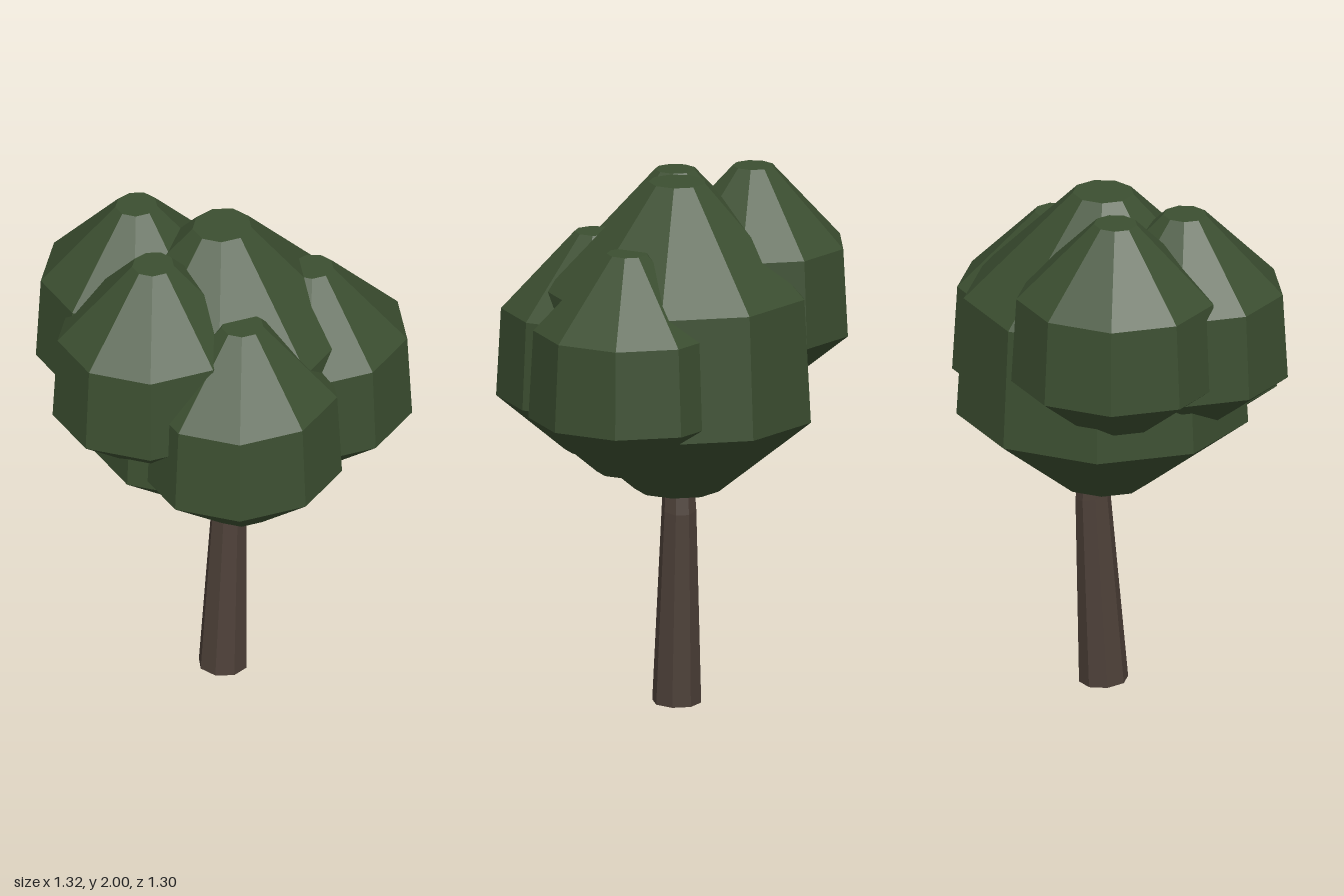
import * as THREE from 'three';

// Split the faces so every facet has its own flat normal
function faceted(geometry) {
  const g = geometry.toNonIndexed();
  g.computeVertexNormals();
  return g;
}

// Nine-sided leaf clump: flat base, widest low ring, upper ring, small flat cap
function clumpGeometry() {
  const profile = [[0, 0], [0.17, 0], [0.55, 0.29], [0.523, 0.755], [0.115, 1.165], [0, 1.165]]
    .map(([r, y]) => new THREE.Vector2(r, y));
  const g = new THREE.LatheGeometry(profile, 9, -Math.PI / 2);
  g.scale(1, 1, 0.935);
  return faceted(g);
}

// Eight-sided trunk, tapering and leaning through rings from top to bottom
function trunkGeometry() {
  const rings = [
    { x: 0.085, y: 0.95, r: 0.052, tilt: 0 },
    { x: 0.096, y: 0.75, r: 0.065, tilt: -0.25 },
    { x: 0.055, y: 0.007, r: 0.092, tilt: -0.06 },
  ];
  const g = new THREE.CylinderGeometry(1, 1, 2, 8, 2, false, Math.PI / 8);
  const p = g.attributes.position;
  for (let i = 0; i < p.count; i++) {
    const ring = rings[Math.round(1 - p.getY(i))];
    const x = p.getX(i) * ring.r;
    p.setXYZ(i, ring.x + x, ring.y + x * ring.tilt, 0.025 + p.getZ(i) * ring.r);
  }
  return faceted(g);
}

export function createModel() {
  const leaf = new THREE.MeshStandardMaterial({ color: 0x3c4f31 });
  leaf.name = 'leaf green';
  const bark = new THREE.MeshStandardMaterial({ color: 0x4d4038 });
  bark.name = 'bark brown';

  const tree = new THREE.Group();
  tree.name = 'tree';

  const trunk = new THREE.Mesh(trunkGeometry(), bark);
  trunk.name = 'trunk';
  tree.add(trunk);

  // Crown: one large clump with four smaller copies around it
  const clump = clumpGeometry();
  const crown = [
    ['mainClump', 0.055, 0.815, 0.022, 1],
    ['backClump', -0.065, 1.172, -0.29, 0.71],
    ['rightClump', -0.27, 1.123, -0.04, 0.71],
    ['frontRightClump', -0.15, 0.931, 0.29, 0.71],
    ['frontLeftClump', 0.29, 0.946, 0.262, 0.71],
  ];
  for (const [name, x, y, z, size] of crown) {
    const mesh = new THREE.Mesh(clump, leaf);
    mesh.name = name;
    mesh.position.set(x, y, z);
    mesh.scale.setScalar(size);
    tree.add(mesh);
  }
  return tree;
}
